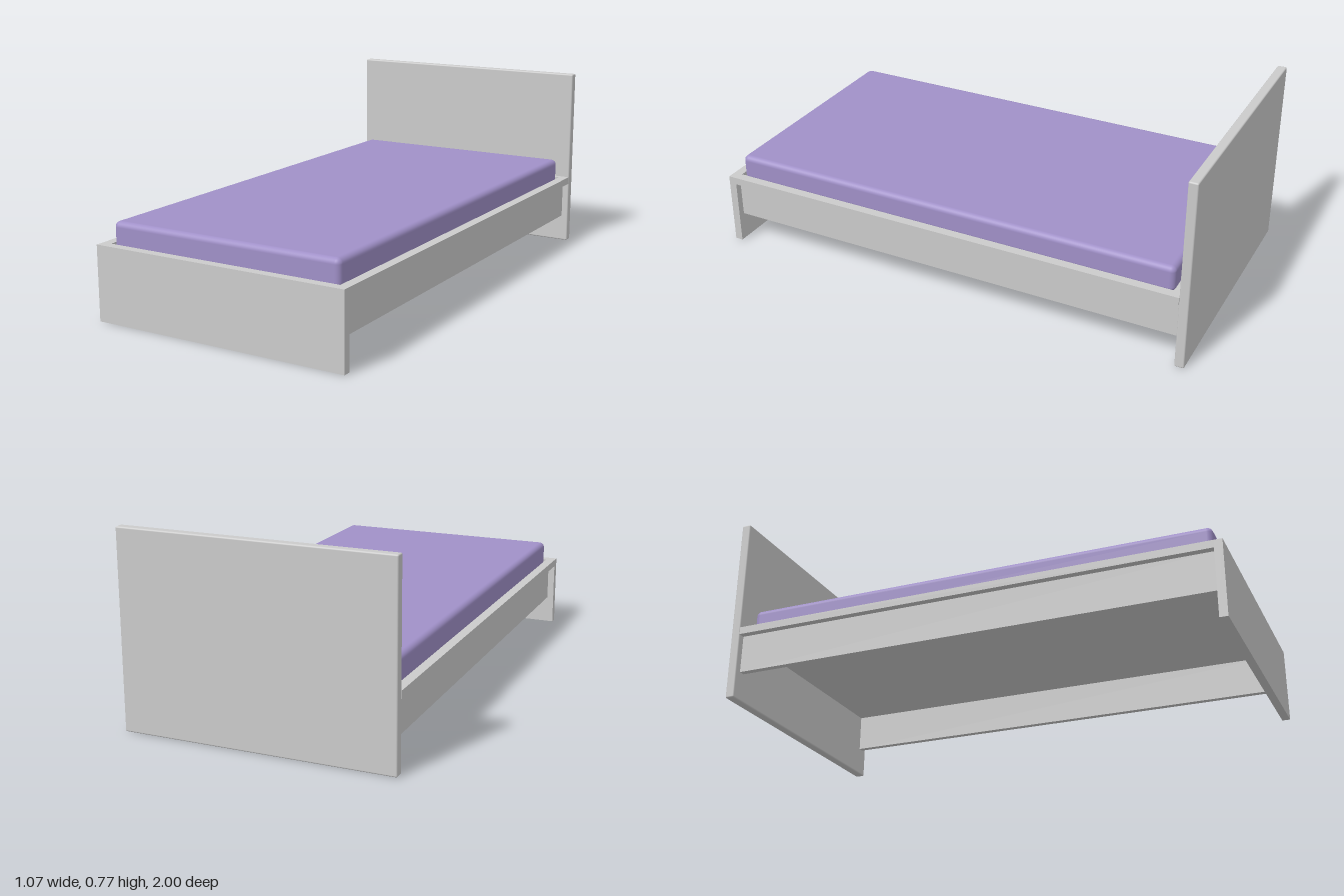
import * as THREE from 'three';
import { RoundedBoxGeometry } from 'three/addons/geometries/RoundedBoxGeometry.js';

export function createModel() {
  const bed = new THREE.Group();
  bed.name = 'bed';
  const frameMat = new THREE.MeshStandardMaterial({ color: 0xcccccc });
  const fabricMat = new THREE.MeshStandardMaterial({ color: 0xa090c8 });

  // Box given by its limits on each axis; a radius rounds the edges
  function block(name, [x0, x1], [y0, y1], [z0, z1], radius = 0, mat = frameMat) {
    const size = [x1 - x0, y1 - y0, z1 - z0];
    const geo = radius
      ? new RoundedBoxGeometry(...size, 4, radius)
      : new THREE.BoxGeometry(...size);
    const mesh = new THREE.Mesh(geo, mat);
    mesh.name = name;
    mesh.position.set((x0 + x1) / 2, (y0 + y1) / 2, (z0 + z1) / 2);
    bed.add(mesh);
  }

  const W = 0.535;              // half width of the frame
  const head = -0.962;          // front face of the headboard
  const foot = 0.968;           // inner face of the footboard

  // End boards standing on the floor
  block('headboard', [-W, W], [0, 0.768], [-1, head], 0.006);
  block('footboard', [-W, W], [0, 0.298], [foot, 1]);

  // Rim around the mattress, open in the middle
  const rim = new THREE.Shape([
    [-W, -foot], [W, -foot], [W, -head], [-W, -head],
  ].map(([x, y]) => new THREE.Vector2(x, y)));
  rim.holes.push(new THREE.Path([
    [-0.497, -0.963], [-0.497, 0.938], [0.497, 0.938], [0.497, -0.963],
  ].map(([x, y]) => new THREE.Vector2(x, y))));
  const rimGeo = new THREE.ExtrudeGeometry(rim, { depth: 0.03, bevelEnabled: false });
  rimGeo.rotateX(-Math.PI / 2);
  const rimMesh = new THREE.Mesh(rimGeo, frameMat);
  rimMesh.name = 'rim';
  rimMesh.position.y = 0.268;
  bed.add(rimMesh);

  // Side rails, set in below the rim
  for (const [name, s] of [['leftRail', 1], ['rightRail', -1]]) {
    const x = [s * 0.482, s * 0.507].sort((a, b) => a - b);
    block(name, x, [0.115, 0.268], [head, foot]);
  }

  // Base panel and mattress
  block('basePanel', [-0.5, 0.5], [0.266, 0.28], [head, foot]);
  block('mattress', [-0.49, 0.49], [0.275, 0.383], [-0.927, 0.956], 0.022, fabricMat);

  return bed;
}
